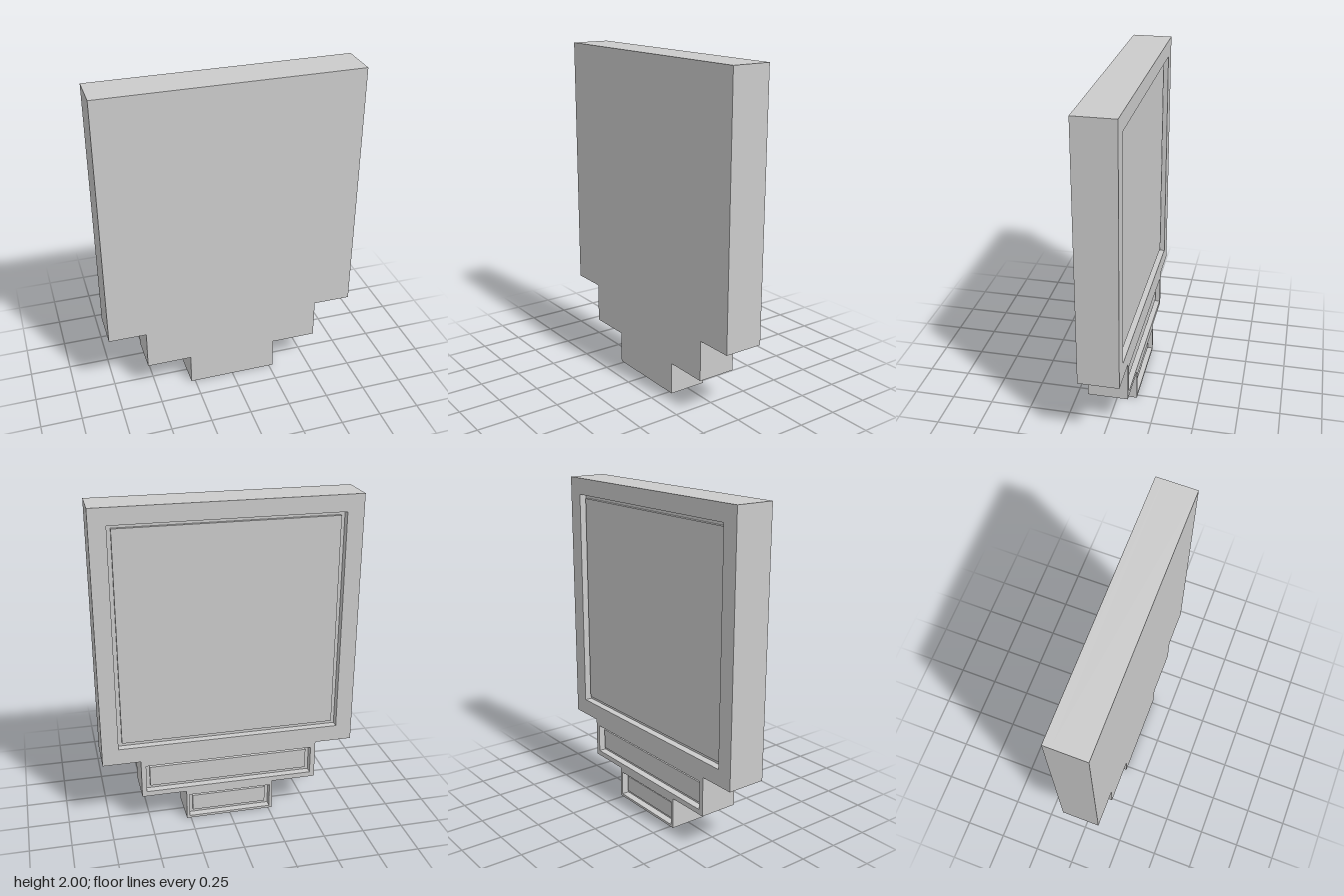
import * as THREE from 'three';

const HALF_DEPTH = 0.12;
const GROOVE_DEPTH = 0.045; // floor of the recesses, measured from the back face
const PANEL_DEPTH = 0.025; // face of the inset panels, measured from the back face
const GAP = 0.025; // groove around each panel

// Stacked tiers: half width, bottom and top
const tiers = [
  { name: 'lower', w: 0.275, y0: 0, y1: 0.195 },
  { name: 'middle', w: 0.55, y0: 0.195, y1: 0.44 },
  { name: 'main', w: 0.78, y0: 0.44, y1: 2 },
];

// Recess openings in the back face
const recesses = [
  { name: 'lower', w: 0.257, y0: 0.015, y1: 0.168 },
  { name: 'middle', w: 0.52, y0: 0.227, y1: 0.405 },
  { name: 'main', w: 0.68, y0: 0.54, y1: 1.9 },
];

function steppedOutline() {
  const right = tiers.flatMap((t) => [new THREE.Vector2(t.w, t.y0), new THREE.Vector2(t.w, t.y1)]);
  const left = right.map((p) => new THREE.Vector2(-p.x, p.y)).reverse();
  return new THREE.Shape([...right, ...left]);
}

function rectPath({ w, y0, y1 }) {
  return new THREE.Path([
    new THREE.Vector2(-w, y0),
    new THREE.Vector2(-w, y1),
    new THREE.Vector2(w, y1),
    new THREE.Vector2(w, y0),
  ]);
}

export function createModel() {
  const group = new THREE.Group();
  const material = new THREE.MeshStandardMaterial({ color: 0xcccccc, flatShading: true });

  function add(name, geometry, x, y, z) {
    const mesh = new THREE.Mesh(geometry, material);
    mesh.name = name;
    mesh.position.set(x, y, z);
    group.add(mesh);
  }

  // Solid stepped body with a plain front
  const floorZ = -HALF_DEPTH + GROOVE_DEPTH;
  add('body', new THREE.ExtrudeGeometry(steppedOutline(), {
    depth: HALF_DEPTH - floorZ, bevelEnabled: false,
  }), 0, 0, floorZ);

  // Back frame with one opening per tier
  const frame = steppedOutline();
  frame.holes = recesses.map(rectPath);
  add('backFrame', new THREE.ExtrudeGeometry(frame, {
    depth: GROOVE_DEPTH, bevelEnabled: false,
  }), 0, 0, -HALF_DEPTH);

  // Inset panels, set just below the frame with a groove around them
  const thickness = GROOVE_DEPTH - PANEL_DEPTH;
  for (const { name, w, y0, y1 } of recesses) {
    add(`${name}BackPanel`,
      new THREE.BoxGeometry(2 * (w - GAP), y1 - y0 - 2 * GAP, thickness),
      0, (y0 + y1) / 2, floorZ - thickness / 2);
  }

  return group;
}
